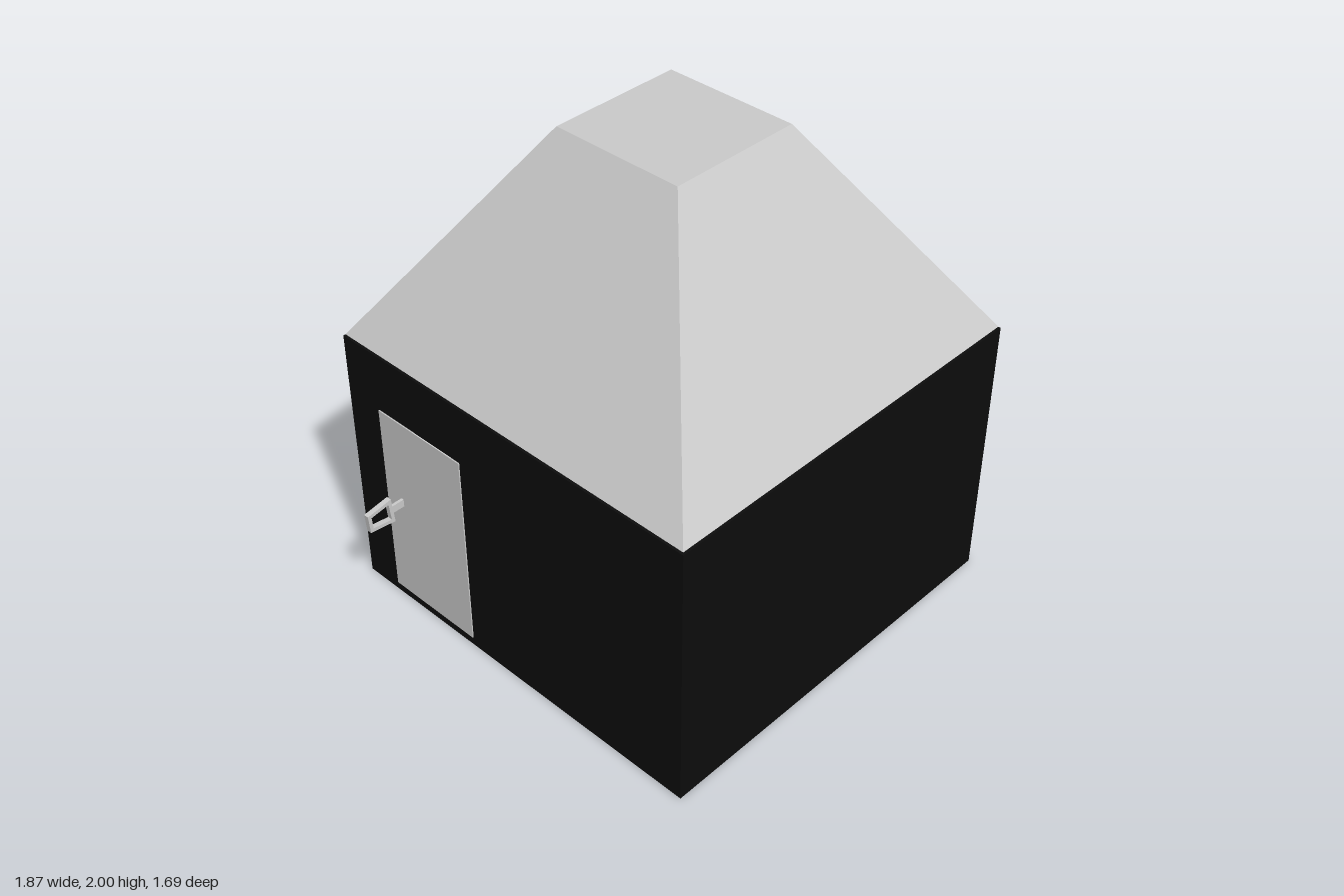
import * as THREE from 'three';

const grey = new THREE.MeshStandardMaterial({ color: 0xcccccc, flatShading: true });
const black = new THREE.MeshStandardMaterial({ color: 0x0d0d0d, flatShading: true });

function part(name, geometry, material, x, y, z) {
  const mesh = new THREE.Mesh(geometry, material);
  mesh.name = name;
  mesh.position.set(x, y, z);
  return mesh;
}

// Box given by its lower and upper corners
function box(name, material, [x0, y0, z0], [x1, y1, z1]) {
  const geometry = new THREE.BoxGeometry(x1 - x0, y1 - y0, z1 - z0);
  return part(name, geometry, material, (x0 + x1) / 2, (y0 + y1) / 2, (z0 + z1) / 2);
}

const points = (list) => list.map(([x, y]) => new THREE.Vector2(x, y));

export function createModel() {
  const model = new THREE.Group();
  model.name = 'house';

  // Walls
  model.add(box('walls', black, [-0.76, 0, -0.845], [0.93, 1.15, 0.845]));

  // Truncated pyramid roof, four-sided and aligned with the walls
  const roof = new THREE.CylinderGeometry(0.28 * Math.SQRT2, 0.84 * Math.SQRT2, 0.85, 4, 1, false, Math.PI / 4);
  model.add(part('roof', roof, grey, 0.09, 1.575, -0.005));

  // Door on the -x wall
  model.add(box('door', grey, [-0.765, 0.04, -0.675], [-0.75, 0.9, -0.235]));

  // Handle: a short stem and a four-sided ring standing out from the door
  const handle = new THREE.Group();
  handle.name = 'doorHandle';
  handle.add(box('handleStem', grey, [-0.825, 0.493, -0.592], [-0.76, 0.526, -0.58]));
  const outline = new THREE.Shape(points([[-0.93, 0.467], [-0.814, 0.452], [-0.825, 0.566], [-0.936, 0.547]]));
  outline.holes.push(new THREE.Path(points([[-0.916, 0.481], [-0.83, 0.47], [-0.838, 0.547], [-0.92, 0.534]])));
  const ring = new THREE.ExtrudeGeometry(outline, { depth: 0.022, bevelEnabled: false });
  handle.add(part('handleRing', ring, grey, 0, 0, -0.599));
  model.add(handle);

  return model;
}
